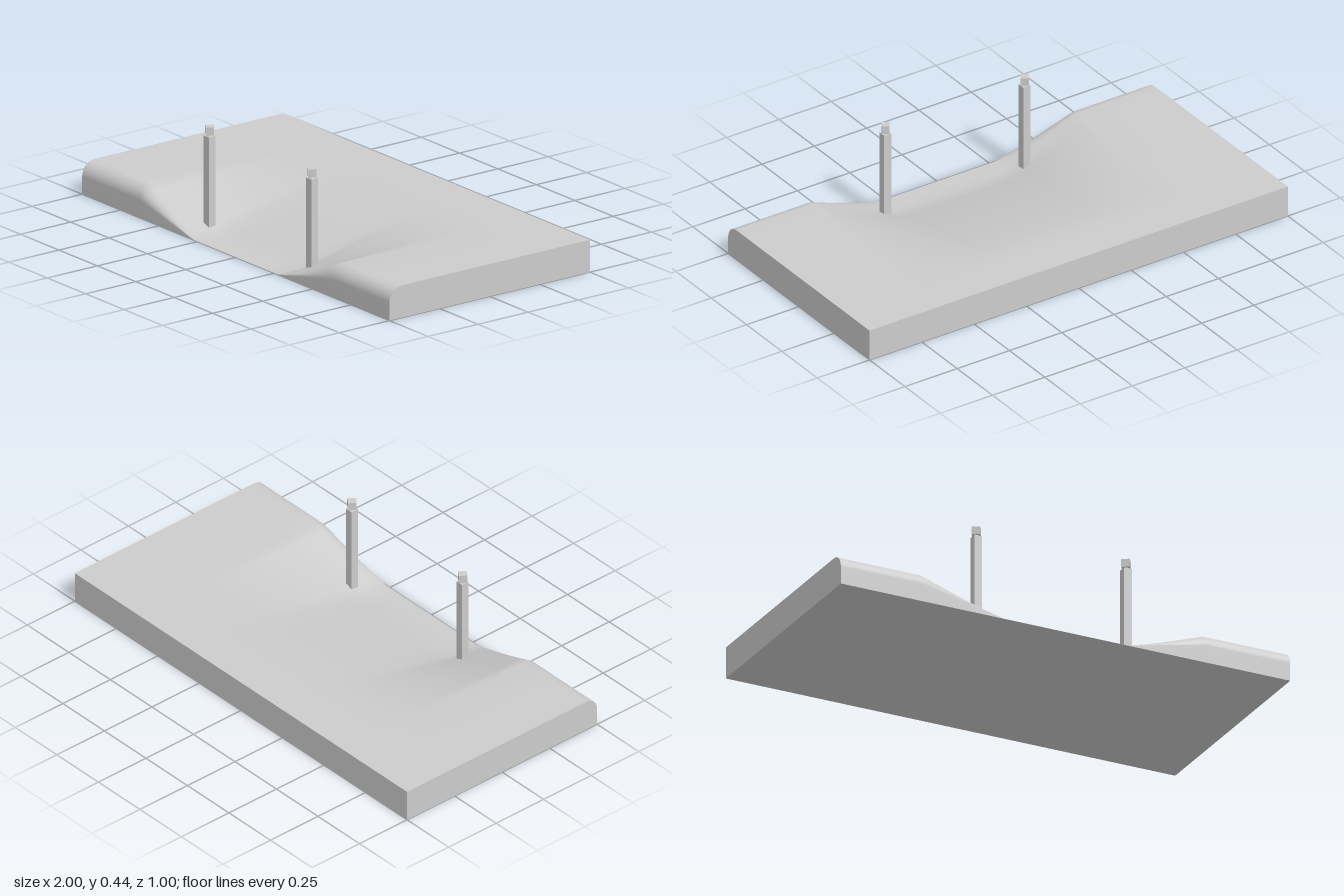
import * as THREE from 'three';

const H = 0.135, R = 0.06, HALF_X = 1, HALF_Z = 0.5;
const mat = new THREE.MeshStandardMaterial({ color: 0xcccccc, side: THREE.DoubleSide });
const flatMat = new THREE.MeshStandardMaterial({ color: 0xcccccc, flatShading: true });

// Kerb profile [z, y] from the front foot, over the rounded nose, to the back
function kerbProfile() {
  const pts = [[HALF_Z, 0]];
  for (let i = 0; i <= 8; i++) {
    const a = (i / 8) * Math.PI / 2;
    pts.push([HALF_Z - R + R * Math.cos(a), H - R + R * Math.sin(a)]);
  }
  for (let i = 1; i <= 24; i++) pts.push([HALF_Z - R - (i / 24) * (2 * HALF_Z - R), H]);
  return pts;
}

// How far the paving is lowered: 0 is full height, 1 is down to the road
function drop(x, z) {
  const u = THREE.MathUtils.clamp((0.63 - Math.abs(x)) / 0.36, 0, 1);
  const v = THREE.MathUtils.clamp((z + 0.3) / 0.68, 0, 1);
  return u * Math.pow(v, 1.4);
}

// Top surface lofted across x from the lowered profile
function pavingGeometry(profile) {
  const xs = [-1, -0.8];
  for (let i = 0; i <= 8; i++) xs.push(-0.63 + 0.045 * i);
  for (let i = 1; i < 6; i++) xs.push(-0.27 + 0.09 * i);
  for (let i = 0; i <= 8; i++) xs.push(0.27 + 0.045 * i);
  xs.push(0.8, 1);
  const pos = [], index = [], n = profile.length;
  xs.forEach((x, c) => profile.forEach(([z, y], r) => {
    pos.push(x, r === 0 ? 0 : Math.max(0.001, y * (1 - drop(x, z))), z);
    if (c && r) {
      const a = (c - 1) * n + r - 1, b = c * n + r - 1;
      index.push(a, b, b + 1, a, b + 1, a + 1);
    }
  }));
  const geo = new THREE.BufferGeometry();
  geo.setAttribute('position', new THREE.Float32BufferAttribute(pos, 3));
  geo.setIndex(index);
  geo.computeVertexNormals();
  return geo;
}

function add(parent, name, geo, material, x = 0, y = 0, z = 0) {
  const mesh = new THREE.Mesh(geo, material);
  mesh.name = name;
  mesh.position.set(x, y, z);
  parent.add(mesh);
  return mesh;
}

export function createModel() {
  const model = new THREE.Group();
  model.name = 'droppedKerb';
  const profile = kerbProfile();

  // Paving slab: lowered top, ends, back and underside
  const slab = new THREE.Group();
  slab.name = 'pavingSlab';
  model.add(slab);
  add(slab, 'pavingTop', pavingGeometry(profile), mat);
  const outline = new THREE.Shape([...profile, [-HALF_Z, 0]].map(([z, y]) => new THREE.Vector2(z, y)));
  for (const s of [-1, 1]) {
    const end = new THREE.ShapeGeometry(outline).rotateY(-Math.PI / 2);
    add(slab, s > 0 ? 'leftEnd' : 'rightEnd', end, mat, s * HALF_X);
  }
  add(slab, 'backFace', new THREE.PlaneGeometry(2, H).rotateY(Math.PI), flatMat, 0, H / 2, -HALF_Z);
  add(slab, 'underside', new THREE.PlaneGeometry(2, 1).rotateX(Math.PI / 2), flatMat);

  // Pair of square bollards with turned caps
  for (const s of [-1, 1]) {
    const bollard = new THREE.Group();
    bollard.name = s > 0 ? 'leftBollard' : 'rightBollard';
    bollard.position.set(s * 0.333, 0, 0.375);
    model.add(bollard);
    add(bollard, 'post', new THREE.BoxGeometry(0.034, 0.385, 0.034), flatMat, 0, 0.2025, 0);
    add(bollard, 'neck', new THREE.CylinderGeometry(0.011, 0.015, 0.012, 8), flatMat, 0, 0.398, 0);
    const cap = add(bollard, 'cap', new THREE.CylinderGeometry(0.024, 0.024, 0.034, 4), flatMat, 0, 0.418, 0);
    cap.rotation.y = 0.18;
  }
  return model;
}
